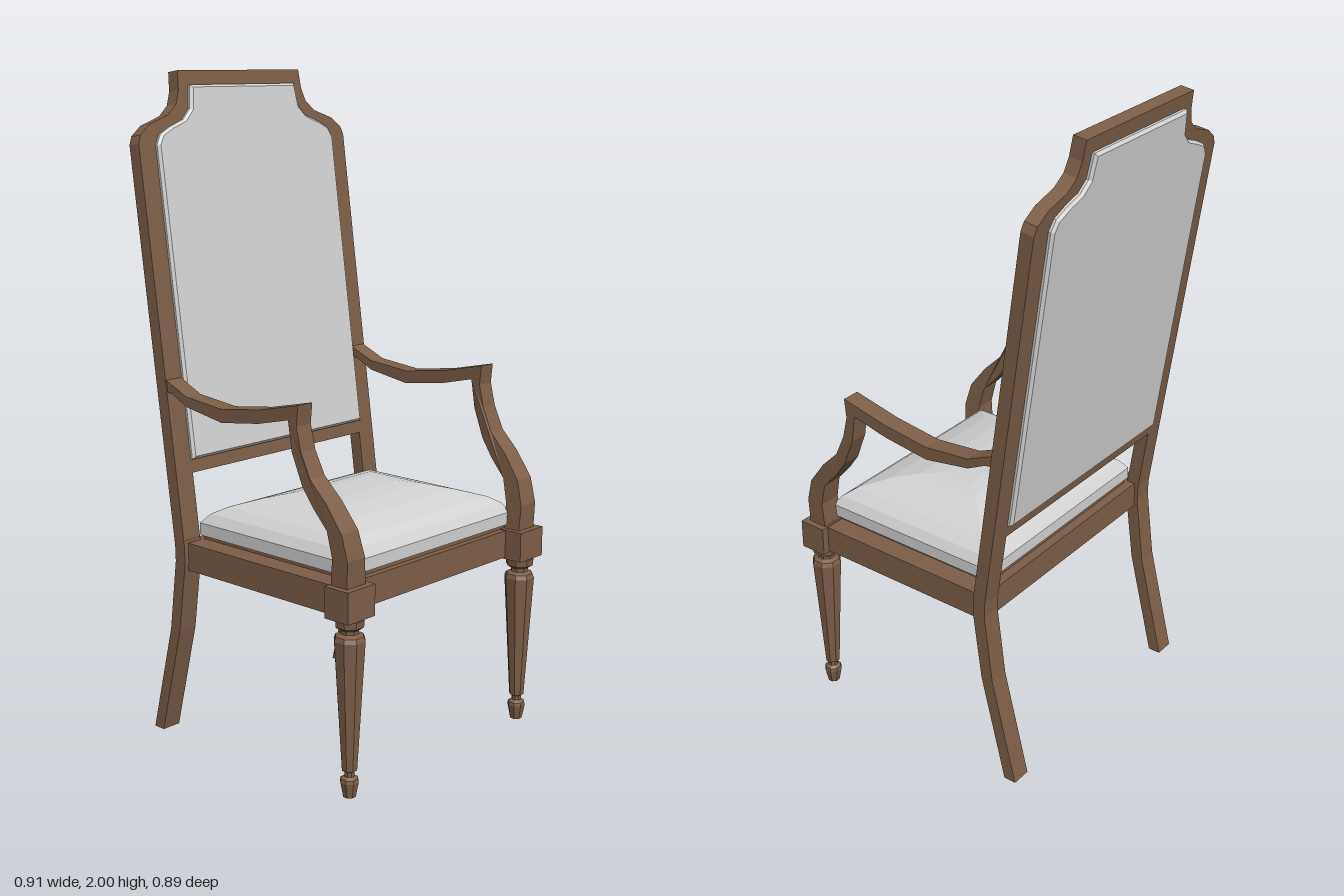
import * as THREE from 'three';

const wood = new THREE.MeshStandardMaterial({ color: 0x7d5e47, flatShading: true });
wood.name = 'brown wood';
const fabric = new THREE.MeshStandardMaterial({ color: 0xd2d1d2, flatShading: true });
fabric.name = 'pale grey fabric';

const TILT = 0.138; // backward lean of the back

function add(parent, name, geometry, material = wood) {
  const mesh = new THREE.Mesh(geometry, material);
  mesh.name = name;
  parent.add(mesh);
  return mesh;
}

function box(parent, name, x0, x1, y0, y1, z0, z1) {
  const mesh = add(parent, name, new THREE.BoxGeometry(x1 - x0, y1 - y0, z1 - z0));
  mesh.position.set((x0 + x1) / 2, (y0 + y1) / 2, (z0 + z1) / 2);
  return mesh;
}

const toShape = (points) => new THREE.Shape(points.map(([x, y]) => new THREE.Vector2(x, y)));

// Side profile (x, y) extruded across z
function slab(points, z0, z1) {
  const g = new THREE.ExtrudeGeometry(toShape(points), { depth: z1 - z0, bevelEnabled: false });
  return g.translate(0, 0, z0);
}

// Symmetric outline in the leaning plane of the back; heights measured from the seat
function mirrored(half) {
  const right = half.map(([z, y]) => [z, (y - 0.6) / Math.cos(TILT)]);
  return [...right, ...right.slice().reverse().map(([z, y]) => [-z, y])];
}

// Extrude an outline through the thickness of the back, centred on x = 0
function backPlate(shape, thickness, bevel) {
  const g = new THREE.ExtrudeGeometry(shape, {
    depth: thickness - 2 * bevel, bevelEnabled: bevel > 0,
    bevelThickness: bevel, bevelSize: bevel, bevelOffset: -bevel, bevelSegments: 1,
  });
  return g.translate(0, 0, bevel - thickness / 2).rotateY(Math.PI / 2);
}

// Domed cushion made of stacked rectangular rings [y, x0, x1, half width]
function cushionGeometry(rings) {
  const pos = [];
  const index = [];
  rings.forEach(([y, x0, x1, w]) => pos.push(x0, y, w, x1, y, w, x1, y, -w, x0, y, -w));
  for (let r = 0; r < rings.length - 1; r++) {
    for (let i = 0; i < 4; i++) {
      const a = r * 4 + i;
      const b = r * 4 + ((i + 1) % 4);
      index.push(a, b, b + 4, a, b + 4, a + 4);
    }
  }
  const t = (rings.length - 1) * 4;
  index.push(t, t + 1, t + 2, t, t + 2, t + 3, 0, 2, 1, 0, 3, 2);
  const g = new THREE.BufferGeometry();
  g.setAttribute('position', new THREE.Float32BufferAttribute(pos, 3));
  g.setIndex(index);
  const flat = g.toNonIndexed();
  flat.computeVertexNormals();
  return flat;
}

function buildBack() {
  const back = new THREE.Group();
  back.name = 'back';
  back.position.set(-0.236, 0.6, 0);
  back.rotation.z = TILT;

  // Frame: two stiles, shaped crest and lower rail around an opening
  const outer = mirrored([
    [0.37, 0.82], [0.37, 0.6], [0.435, 0.6], [0.435, 1.79], [0.425, 1.815], [0.385, 1.845],
    [0.31, 1.87], [0.275, 1.9], [0.26, 1.94], [0.255, 1.998],
  ]);
  const opening = mirrored([
    [0.372, 0.86], [0.372, 1.785], [0.355, 1.815], [0.315, 1.835], [0.26, 1.855],
    [0.23, 1.885], [0.22, 1.955],
  ]);
  const frame = toShape(outer);
  frame.holes.push(toShape(opening));
  add(back, 'backFrame', backPlate(frame, 0.042, 0));

  // Upholstered panel standing proud on both sides
  add(back, 'backPanel', backPlate(toShape(opening), 0.072, 0.008), fabric);
  return back;
}

function buildSide() {
  const side = new THREE.Group();

  // Raked rear leg
  add(side, 'rearLeg', slab([
    [-0.37, 0], [-0.33, 0], [-0.245, 0.34], [-0.215, 0.56], [-0.218, 0.63],
    [-0.259, 0.63], [-0.257, 0.56], [-0.285, 0.34],
  ], 0.372, 0.435));

  // Arm with its curved support, drawn in towards the corner block
  const arm = slab([
    [-0.29, 1.075], [-0.26, 1.07], [-0.2, 1.04], [-0.05, 1.015], [0.1, 1.035], [0.218, 1.063],
    [0.232, 0.975], [0.27, 0.885], [0.31, 0.83], [0.36, 0.775], [0.378, 0.7], [0.372, 0.62],
    [0.432, 0.62], [0.435, 0.7], [0.415, 0.775], [0.36, 0.85], [0.3, 0.91], [0.267, 0.98],
    [0.25, 1.05], [0.256, 1.11], [0.1, 1.075], [-0.05, 1.055], [-0.2, 1.07], [-0.29, 1.11],
  ], 0.375, 0.432);
  const p = arm.attributes.position;
  for (let i = 0; i < p.count; i++) {
    const drop = THREE.MathUtils.clamp((0.95 - p.getY(i)) / 0.32, 0, 1);
    p.setZ(i, p.getZ(i) - drop * (p.getZ(i) < 0.4 ? 0.026 : 0.008));
  }
  arm.computeVertexNormals();
  add(side, 'armrest', arm);

  // Corner block above the front leg
  box(side, 'cornerBlock', 0.365, 0.453, 0.53, 0.622, 0.332, 0.443);

  // Turned, tapering front leg
  const profile = [
    [0, 0], [0.019, 0], [0.028, 0.045], [0.026, 0.055], [0.015, 0.062], [0.015, 0.075],
    [0.023, 0.08], [0.047, 0.465], [0.042, 0.478], [0.027, 0.485], [0.027, 0.495],
    [0.042, 0.505], [0.044, 0.525], [0.035, 0.535],
  ].map(([r, y]) => new THREE.Vector2(r, y));
  const leg = add(side, 'frontLeg', new THREE.LatheGeometry(profile, 8, Math.PI / 8));
  leg.position.set(0.409, 0, 0.388);
  return side;
}

export function createModel() {
  const chair = new THREE.Group();
  chair.name = 'armchair';

  // Seat base
  box(chair, 'seatRails', -0.245, 0.395, 0.535, 0.62, -0.42, 0.42);
  box(chair, 'cushionBase', -0.215, 0.375, 0.62, 0.636, -0.355, 0.355);

  // Seat cushion
  add(chair, 'seatCushion', cushionGeometry([
    [0.634, -0.22, 0.385, 0.368], [0.672, -0.22, 0.385, 0.368], [0.7, -0.195, 0.365, 0.348],
    [0.722, -0.155, 0.335, 0.315], [0.747, -0.085, 0.265, 0.24], [0.763, -0.025, 0.19, 0.18],
    [0.769, 0.02, 0.13, 0.14],
  ]), fabric);

  chair.add(buildBack());

  // Legs and arms on both sides
  const left = buildSide();
  left.name = 'sidePositiveZ';
  const right = buildSide();
  right.name = 'sideNegativeZ';
  right.scale.z = -1;
  chair.add(left, right);
  return chair;
}
